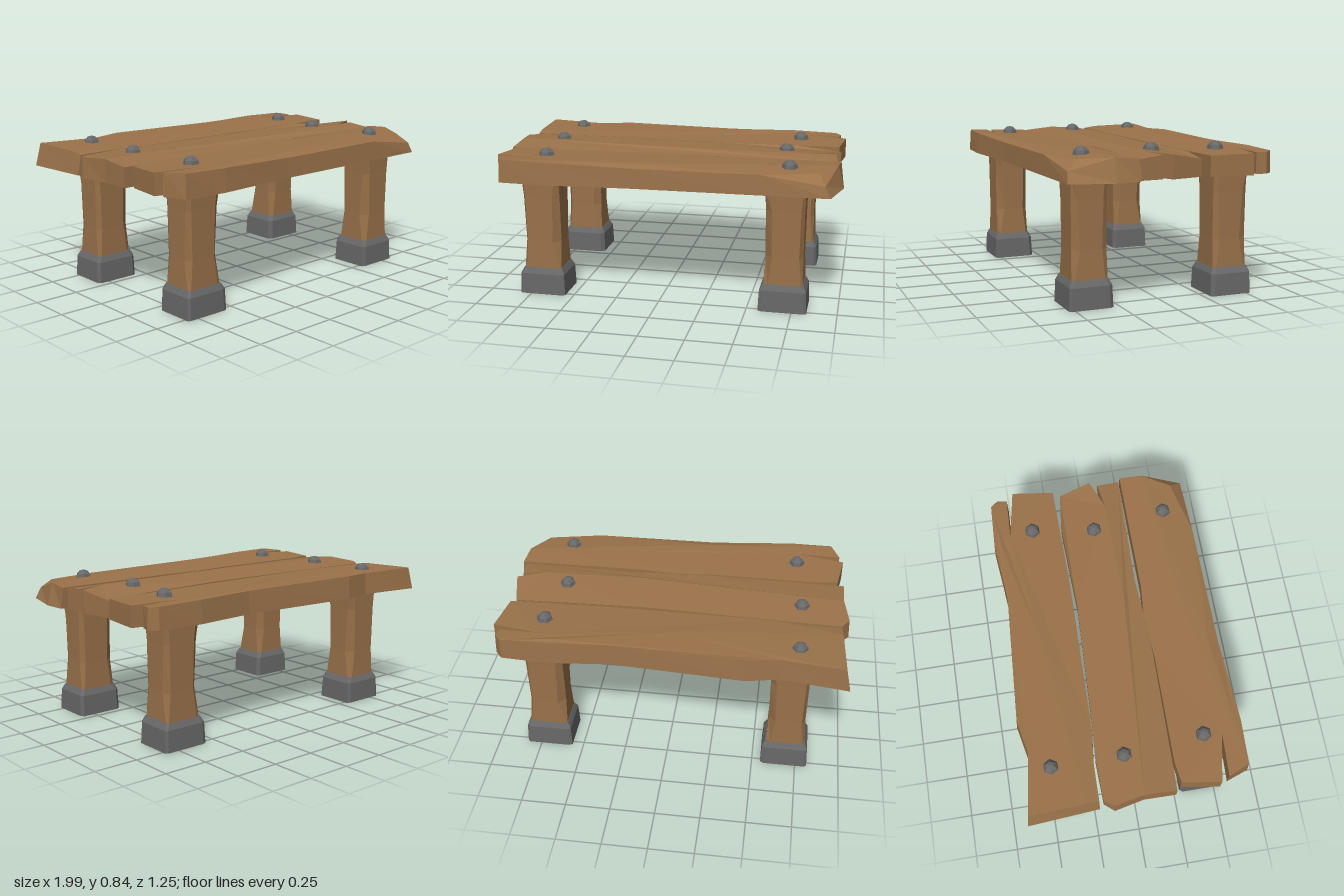
import * as THREE from 'three';

const wood = new THREE.MeshStandardMaterial({ color: 0x9a724a });
wood.name = 'wood';
const metal = new THREE.MeshStandardMaterial({ color: 0x686868 });
metal.name = 'dark metal';

// Faceted mesh from a list of corner points, three per triangle
function facetedMesh(points, material, name) {
  const geometry = new THREE.BufferGeometry().setFromPoints(points);
  geometry.computeVertexNormals();
  const mesh = new THREE.Mesh(geometry, material);
  mesh.name = name;
  return mesh;
}

// Side walls between two rings that run from +x towards +z
function addWalls(out, low, high) {
  low.forEach((a, i) => {
    const j = (i + 1) % low.length;
    out.push(a, high[j], low[j], a, high[i], high[j]);
  });
}

// Fill a polygon so that it faces up or down
function addFill(out, ring, up) {
  const flat = ring.map(p => new THREE.Vector2(p.x, p.z));
  for (const [i, j, k] of THREE.ShapeUtils.triangulateShape(flat, [])) {
    const a = flat[i], b = flat[j], c = flat[k];
    const clockwise = (b.x - a.x) * (c.y - a.y) - (b.y - a.y) * (c.x - a.x) < 0;
    if (clockwise === up) out.push(ring[i], ring[j], ring[k]);
    else out.push(ring[i], ring[k], ring[j]);
  }
}

// Rectangle with cut corners; r, l, f, b are the cuts at right, left, front and back
function cutRect(y, hx, hz, r, l, f, b) {
  return [
    [hx, b - hz], [hx, hz - f], [hx - r, hz], [l - hx, hz],
    [-hx, hz - f], [-hx, b - hz], [l - hx, -hz], [hx - r, -hz],
  ].map(([x, z]) => new THREE.Vector3(x, y, z));
}

function loft(rings, material, name) {
  const out = [];
  for (let i = 0; i + 1 < rings.length; i++) addWalls(out, rings[i], rings[i + 1]);
  addFill(out, rings[0], false);
  addFill(out, rings[rings.length - 1], true);
  return facetedMesh(out, material, name);
}

// Plank: outline rows are [x, z, top y, bottom shift x, bottom shift z];
// inner points shape the creases and faces list the top polygons by index
const BOTTOM = 0.675;
function plank(name, outline, inner, faces) {
  const top = [...outline, ...inner].map(([x, z, y]) => new THREE.Vector3(x, y, z));
  const bottom = outline.map(([x, z, , dx = 0, dz = 0]) => new THREE.Vector3(x + dx, BOTTOM, z + dz));
  const out = [];
  addWalls(out, bottom, top.slice(0, outline.length));
  addFill(out, bottom, false);
  faces.forEach(f => addFill(out, f.map(i => top[i]), true));
  return facetedMesh(out, wood, name);
}

const range = (a, b) => Array.from({ length: b - a + 1 }, (_, i) => a + i);

export function createModel() {
  const group = new THREE.Group();
  group.name = 'plankTable';

  // Back plank, split at its right end
  group.add(plank('backPlank', [
    [-0.967, -0.613, 0.805, -0.028, -0.014], [-0.625, -0.567, 0.8, 0, -0.01], [-0.44, -0.604, 0.805, 0, -0.01],
    [0.295, -0.56, 0.8, 0, -0.008], [0.645, -0.593, 0.8, 0, -0.008], [0.905, -0.582, 0.795, 0, -0.006],
    [0.94, -0.54, 0.79, 0.005], [0.93, -0.485, 0.79], [0.7, -0.493, 0.795], [0.975, -0.445, 0.79],
    [0.945, -0.205, 0.785], [0.34, -0.193, 0.787], [-0.555, -0.205, 0.79], [-0.73, -0.225, 0.79],
    [-0.945, -0.228, 0.787, -0.022], [-0.95, -0.3, 0.798, -0.022],
  ], [[-0.02, -0.4, 0.8], [0.62, -0.55, 0.803]],
  [[...range(0, 5), 17, 16, 15], [...range(5, 15), 16, 17]]));

  // Middle plank
  group.add(plank('middlePlank', [
    [-0.945, -0.205, 0.785], [-0.715, -0.212, 0.79], [-0.555, -0.2, 0.79], [0.19, -0.172, 0.79],
    [0.7, -0.19, 0.787], [0.925, -0.165, 0.767], [0.965, 0.02, 0.803], [0.8, 0.088, 0.803],
    [0.94, 0.065, 0.8], [0.953, 0.195, 0.785], [0.3, 0.182, 0.785], [0.1, 0.195, 0.785],
    [-0.18, 0.205, 0.785], [-0.957, 0.195, 0.785], [-0.955, 0.015, 0.803], [-0.985, -0.15, 0.79, -0.005],
  ], [[0.19, 0.1, 0.805]],
  [[...range(0, 7), 16, 14, 15], [...range(7, 14), 16]]));

  // Front plank, split at its left end and worn down at its front right corner
  group.add(plank('frontPlank', [
    [-0.92, 0.225, 0.79], [-0.8, 0.207, 0.79], [-0.18, 0.21, 0.79], [0.03, 0.19, 0.79],
    [0.25, 0.21, 0.79], [0.975, 0.207, 0.79, 0.015], [0.965, 0.34, 0.8, 0.034], [0.91, 0.57, 0.737, 0.03, 0.01],
    [0.565, 0.575, 0.785, 0, 0.009], [-0.155, 0.582, 0.785, 0, 0.008], [-0.635, 0.61, 0.8, 0, 0.012],
    [-0.88, 0.6, 0.805, -0.005, 0.008], [-0.93, 0.483, 0.8], [-0.68, 0.493, 0.798], [-0.952, 0.44, 0.795],
  ], [[-0.635, 0.575, 0.803], [-0.155, 0.525, 0.802], [0.09, 0.425, 0.8], [0.875, 0.5, 0.79]],
  [[...range(0, 6), 17, 16, 15, 10, 11, 12, 13, 14], [6, 18, 8, 9, 16, 17], [9, 10, 15, 16], [6, 7, 8, 18]]));

  // Dome-headed bolts
  const bolts = [[-0.72, -0.457], [0.705, -0.36], [-0.717, -0.055], [0.652, 0], [-0.674, 0.393], [0.71, 0.422]];
  for (const [x, z] of bolts) {
    const dome = new THREE.SphereGeometry(0.046, 6, 3, 0, Math.PI * 2, 0, Math.PI / 2).toNonIndexed();
    dome.computeVertexNormals();
    const bolt = new THREE.Mesh(dome, metal);
    bolt.name = 'bolt';
    bolt.position.set(x, 0.793, z);
    group.add(bolt);
  }

  // Legs with carved corners, each in a metal foot; the pattern is mirrored
  for (const sx of [-1, 1]) for (const sz of [-1, 1]) {
    const section = (y, hx, hz, inX, outX, inZ, outZ) => cutRect(y, hx, hz,
      sx > 0 ? outX : inX, sx > 0 ? inX : outX, sz > 0 ? outZ : inZ, sz > 0 ? inZ : outZ);
    const leg = new THREE.Group();
    leg.name = (sz > 0 ? 'front' : 'back') + (sx > 0 ? 'Left' : 'Right') + 'Leg';
    leg.add(loft([
      section(0.14, 0.109, 0.101, 0.025, 0.012, 0.016, 0.012),
      section(0.31, 0.104, 0.098, 0.04, 0.02, 0.032, 0.042),
      section(0.57, 0.106, 0.099, 0.035, 0.018, 0.026, 0.028),
      section(0.68, 0.109, 0.101, 0.025, 0.014, 0.022, 0.01),
    ], wood, 'legPost'));
    leg.add(loft([
      section(0, 0.134, 0.123, 0.022, 0.014, 0.02, 0.01),
      section(0.12, 0.129, 0.118, 0.022, 0.014, 0.02, 0.01),
      section(0.153, 0.112, 0.103, 0.022, 0.012, 0.018, 0.01),
    ], metal, 'footCap'));
    leg.position.set(sx > 0 ? 0.699 : -0.683, 0, sz * 0.409);
    group.add(leg);
  }
  return group;
}
